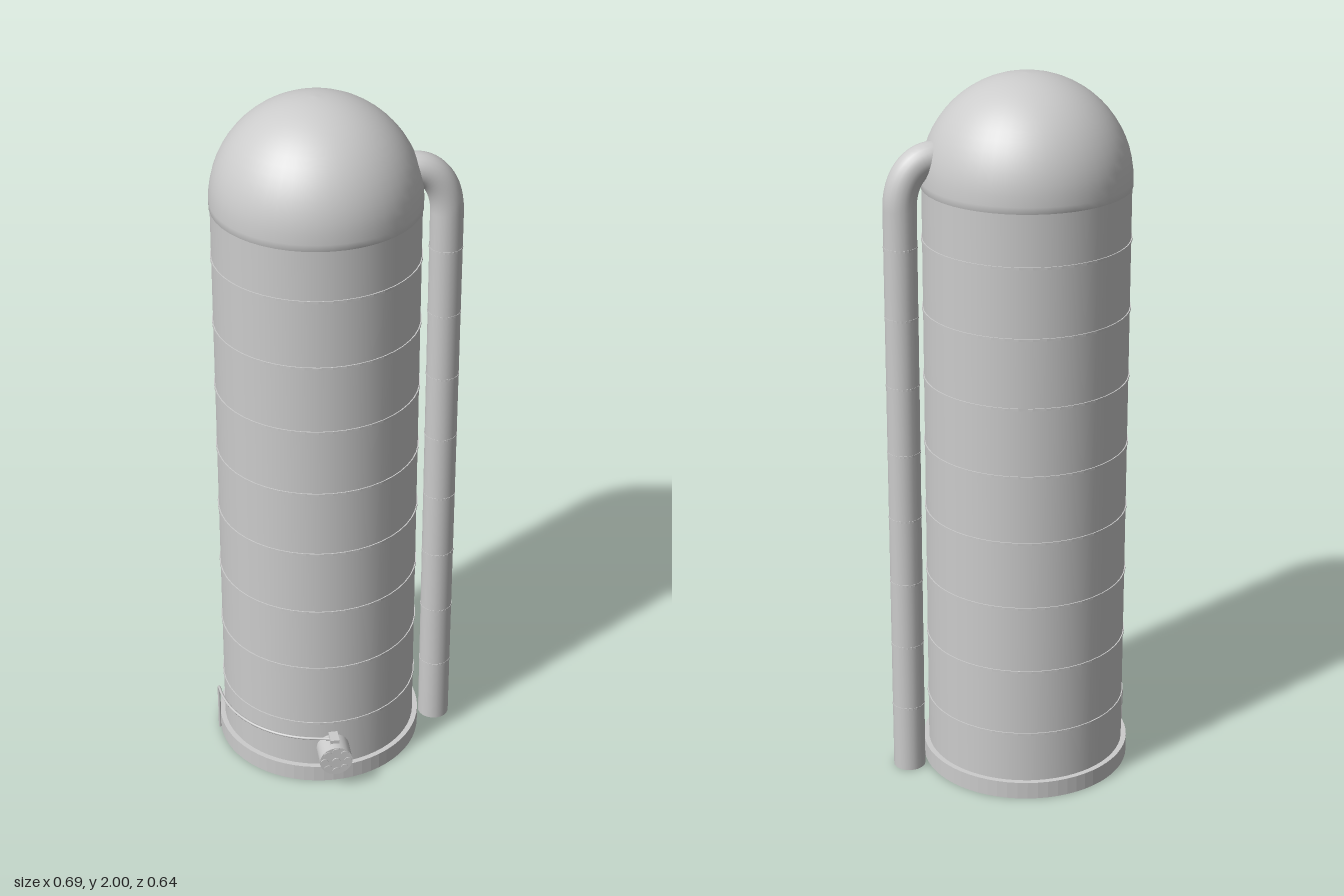
import * as THREE from 'three';

const material = new THREE.MeshStandardMaterial({ color: 0xcccccc, side: THREE.DoubleSide });
const R = 0.279; // silo wall radius
const BAND_STEP = 0.194;

function add(parent, name, geometry, x = 0, y = 0, z = 0) {
  const mesh = new THREE.Mesh(geometry, material);
  mesh.name = name;
  mesh.position.set(x, y, z);
  parent.add(mesh);
  return mesh;
}

// Square-section ring around y, with crisp edges
function ring(inner, outer, height, segments) {
  const shape = new THREE.Shape().absarc(0, 0, outer, 0, Math.PI * 2);
  shape.holes.push(new THREE.Path().absarc(0, 0, inner, 0, Math.PI * 2, true));
  return new THREE.ExtrudeGeometry(shape, { depth: height, bevelEnabled: false, curveSegments: segments })
    .rotateX(-Math.PI / 2);
}

export function createModel() {
  const model = new THREE.Group();
  model.name = 'silo';

  // Everything centred on the tank axis
  const tank = new THREE.Group();
  tank.name = 'tank';
  tank.position.set(-0.047, 0, -0.027);
  model.add(tank);

  // Hollow wall, open underneath
  add(tank, 'wall', new THREE.CylinderGeometry(R, R, 1.71, 48, 1, true), 0, 0.855, 0);
  add(tank, 'baseRing', ring(R, 0.294, 0.05, 32));

  // Dome with a short straight skirt
  const domeR = 0.282;
  const profile = [new THREE.Vector2(R - 0.002, 1.7), new THREE.Vector2(domeR, 1.7)];
  for (let i = 0; i <= 16; i++) {
    const a = (i / 16) * Math.PI / 2;
    profile.push(new THREE.Vector2(domeR * Math.cos(a), 1.718 + domeR * Math.sin(a)));
  }
  profile[profile.length - 1].x = 0;
  add(tank, 'dome', new THREE.LatheGeometry(profile, 48));

  // Filling pipe up the side, bending into the dome
  const pipe = new THREE.Group();
  pipe.name = 'fillPipe';
  model.add(pipe);
  const px = 0.299, pz = -0.014, pr = 0.045, bendY = 1.66, topY = 1.79;
  add(pipe, 'pipeShaft', new THREE.CylinderGeometry(pr, pr, bendY, 20), px, bendY / 2, pz);
  const bend = new THREE.CubicBezierCurve3(
    new THREE.Vector3(px, bendY, pz),
    new THREE.Vector3(px, bendY + 0.075, pz),
    new THREE.Vector3(0.262, topY, pz),
    new THREE.Vector3(0.204, topY, pz));
  add(pipe, 'pipeBend', new THREE.TubeGeometry(bend, 16, pr, 20, false));
  add(pipe, 'pipeEnd', new THREE.CircleGeometry(pr, 20), 0.204, topY, pz).rotation.y = -Math.PI / 2;

  // Thin seams at equal heights on wall and pipe
  for (let i = 0; i < 8; i++) {
    const y = 0.197 + i * BAND_STEP;
    add(tank, 'wallBand', ring(R - 0.001, R + 0.003, 0.007, 24), 0, y - 0.003, 0);
    add(pipe, 'pipeBand', ring(pr - 0.001, pr + 0.001, 0.006, 12), px, y - 0.003, pz);
  }

  // Round outlet near the ground, with a bolted cover
  const outlet = new THREE.Group();
  outlet.name = 'outlet';
  outlet.position.set(-0.047, 0.108, 0);
  model.add(outlet);
  add(outlet, 'outletBody', new THREE.CylinderGeometry(0.047, 0.047, 0.074, 28).rotateX(Math.PI / 2), 0, 0, 0.278);
  const bolt = new THREE.CylinderGeometry(0.011, 0.011, 0.004, 12).rotateX(Math.PI / 2);
  for (let i = 0; i < 8; i++) {
    const a = (i / 8) * Math.PI * 2;
    add(outlet, 'coverBolt', bolt, 0.034 * Math.cos(a), 0.034 * Math.sin(a), 0.3155);
  }
  add(outlet, 'coverHub', new THREE.CylinderGeometry(0.012, 0.012, 0.005, 12).rotateX(Math.PI / 2), 0, 0, 0.316);
  add(outlet, 'cableBox', new THREE.BoxGeometry(0.026, 0.016, 0.042), 0, 0.049, 0.272);

  // Cable from the box around the wall, then down to the ground
  const cableY = 0.157, cableR = 0.297, wire = 0.004;
  const points = [new THREE.Vector3(-0.01, cableY, 0.301)];
  for (let i = 0; i <= 16; i++) {
    const a = Math.PI * (0.55 + 0.43 * (i / 16));
    points.push(new THREE.Vector3(cableR * Math.cos(a), cableY, cableR * Math.sin(a)));
  }
  points.push(new THREE.Vector3(-cableR, cableY - 0.012, -0.003));
  points.push(new THREE.Vector3(-cableR, 0.08, -0.003), new THREE.Vector3(-cableR, 0, -0.003));
  add(tank, 'cable', new THREE.TubeGeometry(new THREE.CatmullRomCurve3(points), 80, wire, 8, false));

  return model;
}
